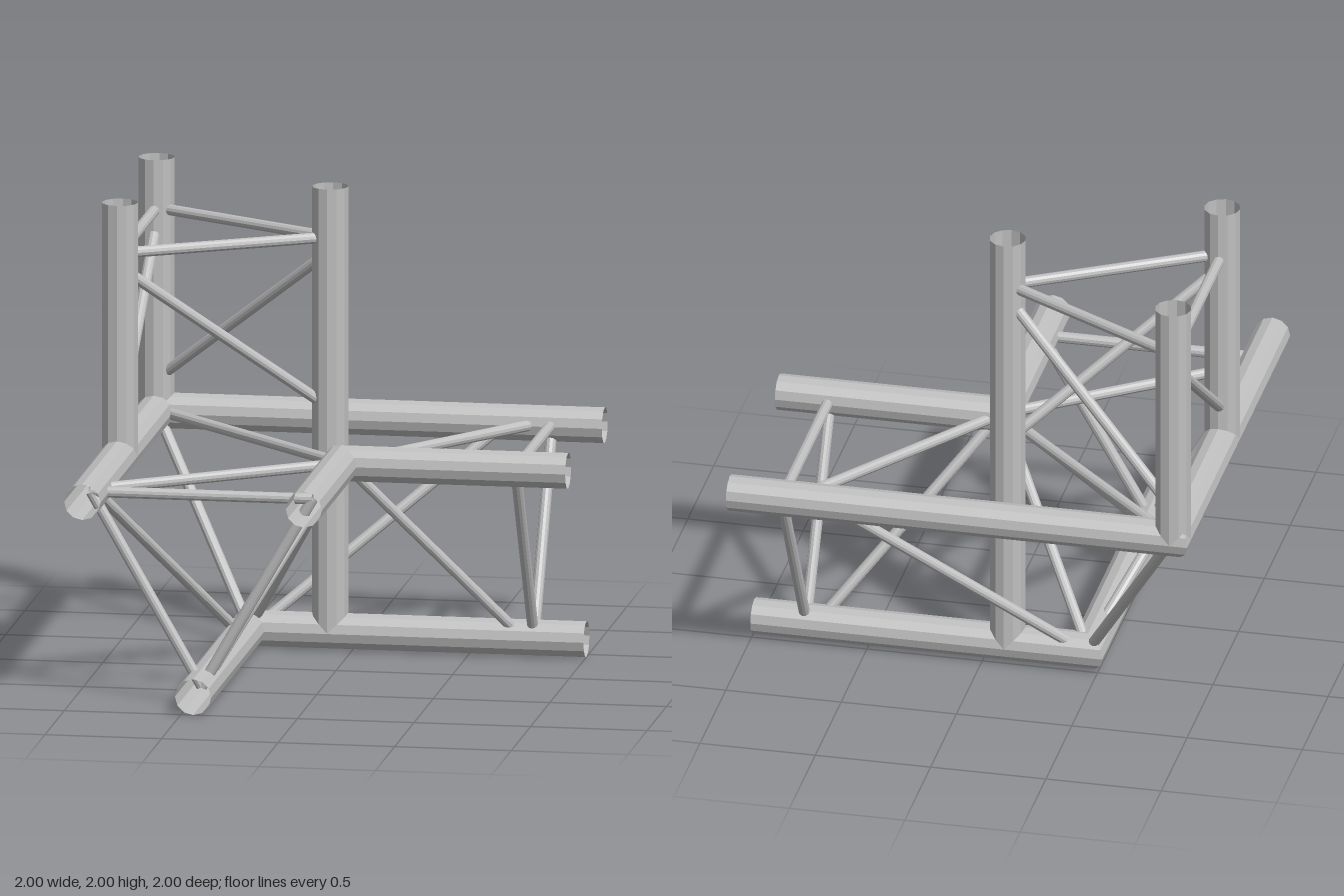
import * as THREE from 'three';

const R = 0.0775;           // main chord radius
const r = 0.024;            // brace radius
const OUT = -0.9225, MID = -0.4475, INN = 0.0275; // chord positions across
const LOW = 0.0785, HIGH = 0.905;                 // chord heights
const POST_X = -0.099;      // post standing on the lower chord

export function createModel() {
  const model = new THREE.Group();
  const metal = new THREE.MeshStandardMaterial({ color: 0xbfbfbf, flatShading: true, side: THREE.DoubleSide });
  metal.name = 'bare metal';

  const add = (parent, name, geometry) => {
    const mesh = new THREE.Mesh(geometry, metal);
    mesh.name = name;
    parent.add(mesh);
    return mesh;
  };
  const group = (name) => {
    const g = new THREE.Group();
    g.name = name;
    model.add(g);
    return g;
  };

  // Thin round bar between two points
  const brace = (parent, name, a, b) => {
    const A = new THREE.Vector3(...a), B = new THREE.Vector3(...b);
    const dir = B.clone().sub(A);
    const mesh = add(parent, name, new THREE.CylinderGeometry(r, r, dir.length(), 12, 1, true));
    mesh.position.copy(A).add(B).multiplyScalar(0.5);
    mesh.quaternion.setFromUnitVectors(new THREE.Vector3(0, 1, 0), dir.normalize());
  };

  // Open chord tube from corner c out to 1, mitred on the plane x = z
  const chord = (parent, axis, c, y) => {
    const g = new THREE.CylinderGeometry(R, R, 1, 12, 1, true);
    if (axis === 'x') g.rotateZ(-Math.PI / 2);
    else g.rotateX(Math.PI / 2);
    const p = g.attributes.position;
    for (let i = 0; i < p.count; i++) {
      const x = p.getX(i), z = p.getZ(i);
      if (axis === 'x') p.setXYZ(i, x > 0 ? 1 : c + z, p.getY(i) + y, z + c);
      else p.setXYZ(i, x + c, p.getY(i) + y, z > 0 ? 1 : c + x);
    }
    g.computeVertexNormals();
    add(parent, axis + 'Chord', g);
  };

  // Two horizontal arms, each with three chords, an end ring and diagonals
  for (const axis of ['x', 'z']) {
    const arm = group(axis === 'x' ? 'leftArm' : 'frontArm');
    const at = (along, [across, y]) => axis === 'x' ? [along, y, across] : [across, y, along];
    const outer = [OUT, HIGH], inner = [INN, HIGH], lower = [MID, LOW];
    for (const [c, y] of [outer, inner, lower]) chord(arm, axis, c, y);
    for (const [a, b] of [[outer, inner], [inner, lower], [lower, outer]])
      brace(arm, 'ringBrace', at(0.775, a), at(0.775, b));
    brace(arm, 'topDiagonal', at(0.04, inner), at(0.725, outer));
    brace(arm, 'innerDiagonal', at(0.04, inner), at(0.725, lower));
    const shift = axis === 'x' ? 0 : 0.14;
    brace(arm, 'outerDiagonal', at(-0.42 + shift, lower), at(0.58 + shift, outer));
  }

  // Upright arm: three posts, a ring near the top and one diagonal per face
  const tower = group('uprightArm');
  const posts = [[OUT, OUT, HIGH], [OUT, INN, HIGH], [POST_X, MID, LOW]];
  for (const [x, z, base] of posts) {
    const h = 2 - base;
    add(tower, 'post', new THREE.CylinderGeometry(R, R, h, 12, 1, true)).position.set(x, base + h / 2, z);
  }
  posts.forEach(([x, z], i) => {
    const [x2, z2] = posts[(i + 1) % 3];
    brace(tower, 'ringBrace', [x, 1.78, z], [x2, 1.78, z2]);
    brace(tower, 'towerDiagonal', [x, 1.72, z], [x2, 1.04, z2]);
  });

  // Triangle of braces joining the three mitred corners
  const corner = group('cornerTriangle');
  const pts = [[OUT, HIGH, OUT], [INN, HIGH, INN], [MID, LOW, MID]];
  pts.forEach((p, i) => brace(corner, 'cornerBrace', p, pts[(i + 1) % 3]));

  return model;
}
